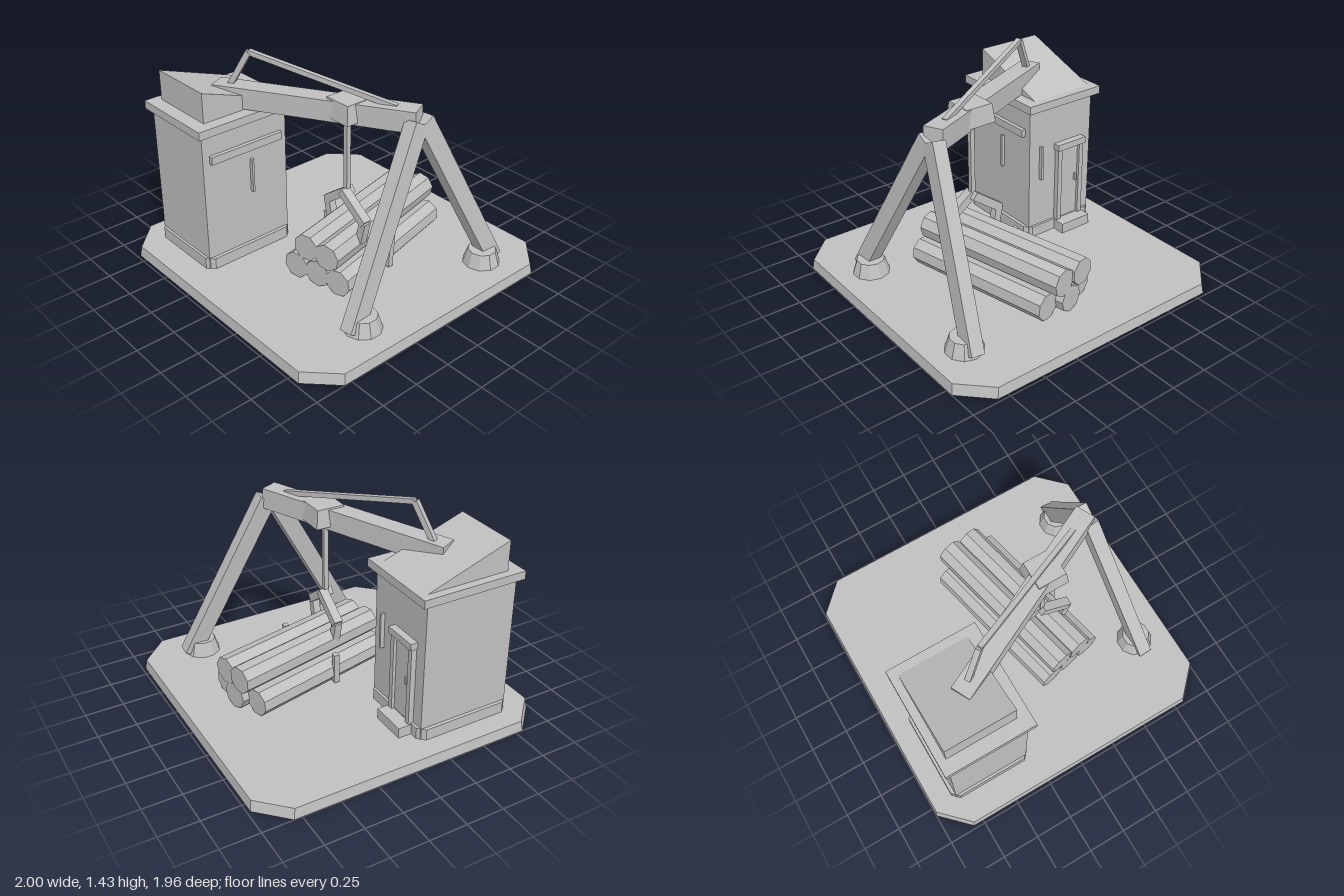
import * as THREE from 'three';

export function createModel() {
  const root = new THREE.Group();
  const grey = new THREE.MeshStandardMaterial({ color: 0xc0c0c0, flatShading: true, side: THREE.DoubleSide });
  grey.name = 'plain grey';
  const V = (p) => new THREE.Vector3(...p);

  const add = (name, geo, pos = [0, 0, 0], parent = root) => {
    const m = new THREE.Mesh(geo, grey);
    m.name = name;
    m.position.set(...pos);
    parent.add(m);
    return m;
  };
  // Box given by its lower and upper limits
  const box = (name, x, y, z, parent) =>
    add(name, new THREE.BoxGeometry(x[1] - x[0], y[1] - y[0], z[1] - z[0]),
      [(x[0] + x[1]) / 2, (y[0] + y[1]) / 2, (z[0] + z[1]) / 2], parent);
  // Turns a mesh whose length lies along z so that it runs from a to b
  const span = (mesh, a, b, up = [0, 1, 0]) => {
    mesh.position.copy(V(a).add(V(b)).multiplyScalar(0.5));
    mesh.up.set(...up);
    mesh.lookAt(V(b));
    return mesh;
  };
  const beam = (name, a, b, w, h, up, parent) =>
    span(add(name, new THREE.BoxGeometry(w, h, V(a).distanceTo(V(b))), undefined, parent), a, b, up);
  // Chamfered tray, open below, with sides that lean in by inset
  const tray = (name, hx, hz, c, h, inset, pos, parent) => {
    const ring = (y, d) => {
      const x = hx - d, z = hz - d;
      return [[c - x, -z], [x - c, -z], [x, c - z], [x, z - c], [x - c, z], [c - x, z], [-x, z - c], [-x, c - z]]
        .map(([px, pz]) => [px, y, pz]);
    };
    const low = ring(0, 0), top = ring(h, inset), verts = [];
    for (let i = 0; i < 8; i++) {
      const j = (i + 1) % 8;
      verts.push(low[j], low[i], top[i], low[j], top[i], top[j], [0, h, 0], top[j], top[i]);
    }
    const g = new THREE.BufferGeometry();
    g.setAttribute('position', new THREE.Float32BufferAttribute(verts.flat(), 3));
    g.computeVertexNormals();
    return add(name, g, pos, parent);
  };

  tray('platform', 1, 0.98, 0.18, 0.07, 0.01, [0, 0, 0]);

  // Cabin with plinth, roof slab and sloping roof
  const cabin = new THREE.Group();
  cabin.name = 'cabin';
  root.add(cabin);
  tray('plinth', 0.285, 0.33, 0.045, 0.082, 0, [-0.568, 0.063, 0.46], cabin);
  box('cabinWalls', [-0.83, -0.307], [0.07, 1.01], [0.147, 0.773], cabin);
  box('roofSlab', [-0.865, -0.272], [1.003, 1.057], [0.1, 0.808], cabin);
  const wedge = new THREE.Shape([[-0.718, 1.057], [-0.155, 1.057], [-0.718, 1.253]].map((p) => new THREE.Vector2(...p)));
  const roof = new THREE.ExtrudeGeometry(wedge, { depth: 0.458, bevelEnabled: false });
  roof.rotateY(Math.PI / 2);
  add('slopedRoof', roof, [-0.812, 0, 0], cabin);
  box('sideLedge', [-0.31, -0.28], [0.808, 0.86], [0.195, 0.725], cabin);
  box('sideBar', [-0.31, -0.283], [0.51, 0.74], [0.415, 0.43], cabin);
  box('backBar', [-0.405, -0.39], [0.49, 0.73], [0.12, 0.15], cabin);

  // Doorway on the back wall
  const door = new THREE.Group();
  door.name = 'door';
  cabin.add(door);
  box('doorStep', [-0.755, -0.518], [0.03, 0.14], [0.04, 0.15], door);
  box('doorPanel', [-0.72, -0.55], [0.14, 0.67], [0.132, 0.15], door);
  for (const x of [-0.73, -0.545]) box('doorPost', [x - 0.017, x + 0.017], [0.14, 0.67], [0.112, 0.15], door);
  box('doorLintel', [-0.755, -0.518], [0.67, 0.715], [0.1, 0.15], door);
  box('doorHandle', [-0.7, -0.685], [0.4, 0.45], [0.115, 0.135], door);

  // Crane boom, stay and its short mast
  const crane = new THREE.Group();
  crane.name = 'crane';
  root.add(crane);
  beam('boom', [-0.567, 1.122, 0.464], [0.608, 1.176, -0.11], 0.128, 0.135, undefined, crane);
  const peak = [-0.375, 1.41, 0.352];
  beam('stayMast', [-0.495, 1.17, 0.418], peak, 0.036, 0.036, undefined, crane);
  beam('stay', peak, [0.485, 1.228, -0.05], 0.032, 0.032, undefined, crane);

  // A-frame legs in round sockets
  for (const [headZ, footZ, socketZ] of [[-0.085, 0.532, 0.447], [-0.125, -0.668, -0.583]]) {
    beam('frameLeg', [0.612, 1.165, headZ], [0.758, 0.075, footZ], 0.115, 0.088, [1, 0, 0], crane);
    add('legSocket', new THREE.CylinderGeometry(0.09, 0.122, 0.1, 10), [0.757, 0.114, socketZ], crane);
  }

  // Trolley, cable and grapple
  const trolley = new THREE.CylinderGeometry(0.092 * Math.SQRT2, 0.107 * Math.SQRT2, 0.12, 4);
  trolley.rotateY(Math.PI / 4);
  add('trolley', trolley, [0.213, 1.173, 0.075], crane);
  box('cable', [0.193, 0.223], [0.59, 1.15], [0.067, 0.097], crane);
  for (const [s, z] of [[-1, 0.064], [1, 0.1]]) {
    const at = (dx, y) => [0.208 + s * dx, y, z];
    beam('grappleArm', at(-0.01, 0.61), at(0.192, 0.462), 0.06, 0.055, undefined, crane);
    beam('grappleClaw', at(0.185, 0.472), at(0.152, 0.32), 0.05, 0.05, [0, 0, 1], crane);
  }

  // Log stack: front end x, height, front z, length, roll
  const logs = [
    [0.115, 0.158, 0.415, 1.03, 0.1], [0.27, 0.157, 0.38, 1.08, 0.3], [0.425, 0.154, 0.35, 1.03, -0.15],
    [0.19, 0.315, 0.4, 1.1, 0], [0.345, 0.305, 0.37, 1.09, 0.25],
  ];
  const stack = new THREE.Group();
  stack.name = 'logStack';
  root.add(stack);
  for (const [x, y, z, len, roll] of logs) {
    const g = new THREE.CylinderGeometry(0.09, 0.09, len, 8);
    g.rotateY(Math.PI / 8 + roll);
    g.rotateX(Math.PI / 2);
    span(add('log', g, undefined, stack), [x, y, z], [x - 0.222 * len, y, z - 0.975 * len]);
  }
  // Stakes that hold the stack
  beam('leftStake', [-0.055, 0.08, 0.01], [-0.07, 0.3, 0], 0.035, 0.035, [0, 0, 1], stack);
  beam('rightStake', [0.415, 0.08, -0.09], [0.415, 0.3, -0.108], 0.035, 0.035, [0, 0, 1], stack);

  return root;
}
